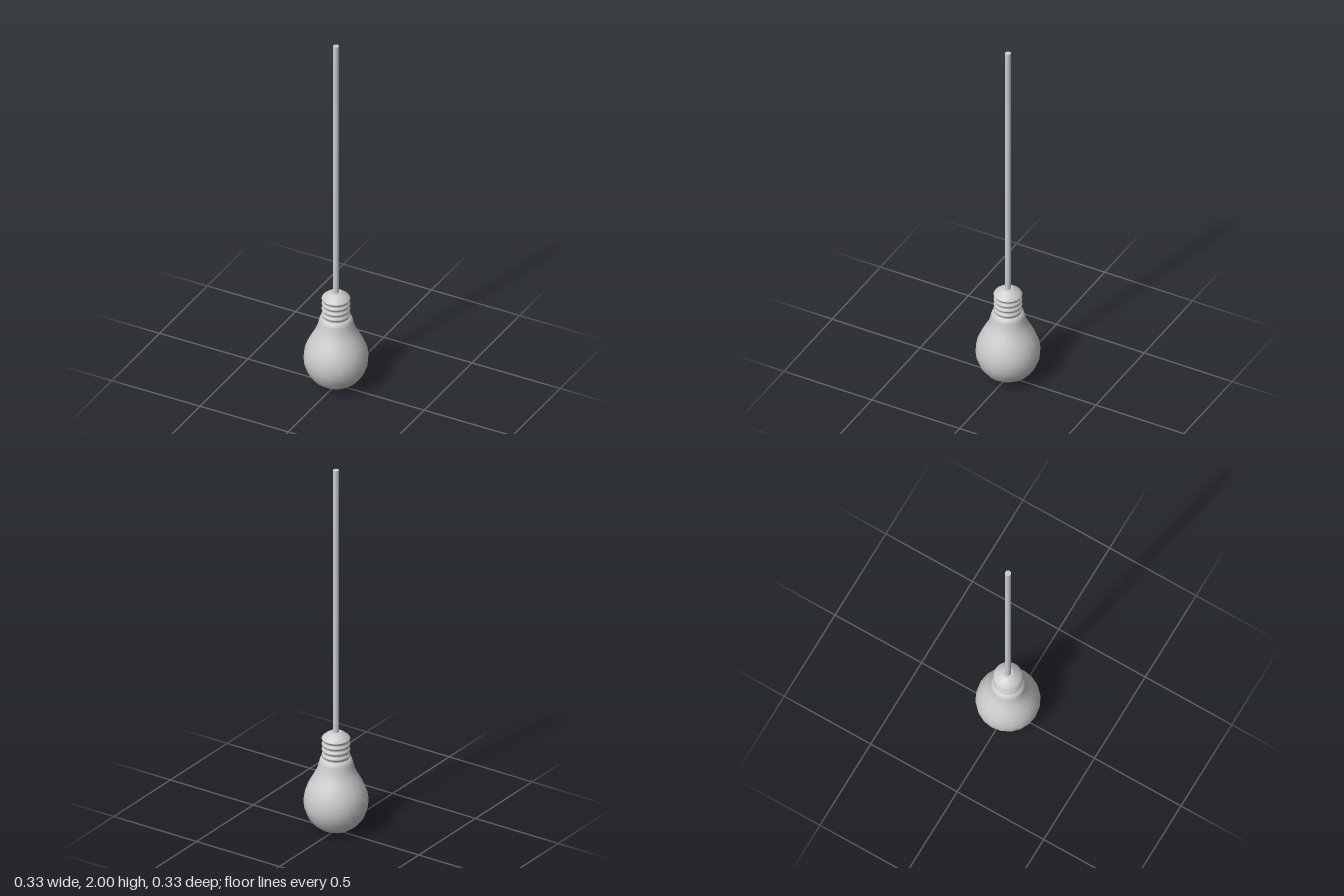
import * as THREE from 'three';

const material = new THREE.MeshStandardMaterial({ color: 0xcccccc, side: THREE.DoubleSide });

// Revolves a bottom-to-top [radius, height] profile around the y axis
function turned(name, profile, segments) {
  const points = profile.map(([r, y]) => new THREE.Vector2(r, y));
  const mesh = new THREE.Mesh(new THREE.LatheGeometry(points, segments), material);
  mesh.name = name;
  return mesh;
}

export function createModel() {
  const group = new THREE.Group();
  group.name = 'hangingLightBulb';

  // Pear-shaped glass with a rounded shoulder under the screw base
  group.add(turned('glassBulb', [
    [0, 0], [0.04, 0.005], [0.08, 0.021], [0.115, 0.047], [0.143, 0.085],
    [0.159, 0.128], [0.163, 0.17], [0.157, 0.212], [0.143, 0.25],
    [0.125, 0.284], [0.108, 0.314], [0.096, 0.34], [0.089, 0.363],
    [0.085, 0.383], [0.08, 0.399], [0.068, 0.406],
  ], 20));

  // Screw base: four rounded thread ridges
  const thread = [[0.064, 0.4]];
  const ridges = 4, pitch = 0.03, steps = 6;
  for (let i = 0; i <= ridges * steps - steps / 2; i++) {
    const wave = 0.5 - 0.5 * Math.cos((i / steps) * Math.PI * 2);
    thread.push([0.063 + 0.009 * wave, 0.406 + (i / steps) * pitch]);
  }
  group.add(turned('screwBase', thread, 32));

  // Sloping cap that closes the base around the cord
  group.add(turned('baseCap', [[0.072, 0.511], [0.068, 0.519], [0.05, 0.534], [0.028, 0.547]], 32));
  group.add(turned('capTop', [[0.028, 0.547], [0, 0.547]], 32));

  // Straight hanging cord
  const cord = new THREE.Mesh(new THREE.CylinderGeometry(0.015, 0.015, 1.46, 20), material);
  cord.name = 'cord';
  cord.position.y = 1.27;
  group.add(cord);

  return group;
}
